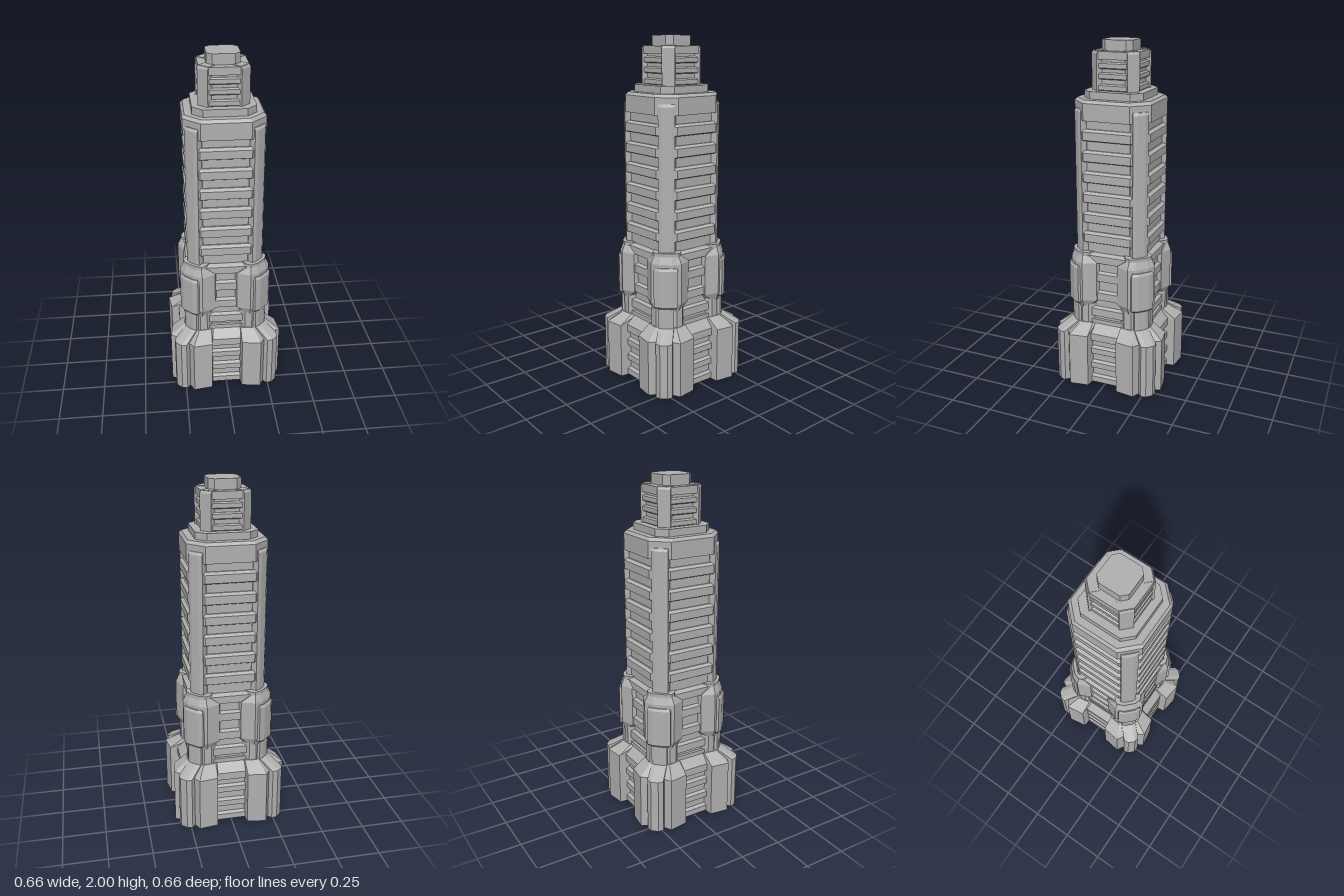
import * as THREE from 'three';

const grey = new THREE.MeshStandardMaterial({ color: 0xb0b0b0 });
grey.name = 'hull grey';

// Closed solid through matching [x, z] outlines, given as [y, outline] from bottom to top
function loft(name, sections) {
  const pos = [];
  const put = (y, p) => pos.push(p[0], y, p[1]);
  for (let s = 0; s + 1 < sections.length; s++) {
    const [y0, a] = sections[s], [y1, b] = sections[s + 1];
    for (let i = 0; i < a.length; i++) {
      const j = (i + 1) % a.length;
      put(y0, a[i]); put(y1, b[i]); put(y0, a[j]);
      put(y0, a[j]); put(y1, b[i]); put(y1, b[j]);
    }
  }
  const cap = ([y, o], up) => {
    const tris = THREE.ShapeUtils.triangulateShape(o.map((p) => new THREE.Vector2(...p)), []);
    for (const [i, j, k] of tris) {
      const [p, q, r] = [o[i], o[j], o[k]];
      const ccw = (q[0] - p[0]) * (r[1] - p[1]) - (q[1] - p[1]) * (r[0] - p[0]) > 0;
      for (const v of ccw === up ? [p, r, q] : [p, q, r]) put(y, v);
    }
  };
  cap(sections[0], false);
  cap(sections[sections.length - 1], true);
  const geo = new THREE.BufferGeometry();
  geo.setAttribute('position', new THREE.Float32BufferAttribute(pos, 3));
  geo.computeVertexNormals();
  const mesh = new THREE.Mesh(geo, grey);
  mesh.name = name;
  return mesh;
}

// Square with cut corners: half width h, half length f of each straight side
const oct = (h, f) => [[h, -f], [h, f], [f, h], [-f, h], [-h, f], [-h, -f], [-f, -h], [f, -h]];
const octLoft = (name, rows) => loft(name, rows.map(([y, h, f]) => [y, oct(h, f)]));

// Outline mirrored across x = 0, from its right half listed back to front
const mirror = (half) => [...half, ...half.map(([x, z]) => [-x, z]).reverse()];
const cornerLoft = (name, rows) => loft(name, rows.map(([y, half]) => [y, mirror(half)]));

// Horizontal rib around the body with a sloped upper edge
function rib(name, y, t, h, f, drop) {
  return octLoft(name, [[y - t, h - drop / 2, f], [y - t + 0.005, h, f], [y + t * 0.6, h, f], [y + t, h - drop, f - drop / 2]]);
}

// Everything repeated on the four corners; +z points out of the corner
function corner() {
  const g = new THREE.Group();
  g.name = 'corner';

  const footBase = [[0.09, 0.2], [0.159, 0.286], [0.092, 0.375], [0.046, 0.362], [0.047, 0.39], [0.022, 0.409]];
  const footTop = [[0.09, 0.19], [0.105, 0.23], [0.06, 0.29], [0.046, 0.29], [0.045, 0.3], [0.02, 0.312]];
  g.add(cornerLoft('foot', [[0, footBase], [0.325, footBase], [0.38, footTop]]));

  const column = [[0.045, 0.18], [0.045, 0.295], [0.025, 0.303]];
  g.add(cornerLoft('lowerColumn', [[0.35, column], [0.52, column]]));
  const backing = [[0.09, 0.18], [0.09, 0.25], [0.06, 0.278]];
  g.add(cornerLoft('columnBacking', [[0.34, backing], [0.52, backing]]));

  const clampEnd = [[0.07, 0.18], [0.08, 0.25], [0.07, 0.272], [0.035, 0.288]];
  const clampMid = [[0.105, 0.18], [0.118, 0.208], [0.086, 0.284], [0.035, 0.303]];
  g.add(cornerLoft('clamp', [[0.48, clampEnd], [0.525, clampMid], [0.76, clampMid], [0.8, clampEnd], [0.82, clampEnd]]));

  const panel = [[0.068, 0.27], [0.068, 0.304], [0.035, 0.317]];
  const panelEdge = [[0.06, 0.27], [0.06, 0.298], [0.032, 0.309]];
  g.add(cornerLoft('clampPanel', [[0.5, panelEdge], [0.51, panel], [0.725, panel], [0.74, panelEdge]]));

  const pillar = [[0.046, 0.18], [0.046, 0.262], [0.025, 0.27]];
  const pillarTip = [[0.046, 0.18], [0.046, 0.255], [0.025, 0.26]];
  g.add(cornerLoft('pillar', [[0.78, pillar], [1.625, pillar], [1.64, pillarTip]]));

  const post = [[0.036, 0.1], [0.036, 0.162]];
  const postTip = [[0.036, 0.1], [0.036, 0.152]];
  g.add(cornerLoft('headPost', [[1.73, post], [1.93, post], [1.945, postTip]]));
  return g;
}

export function createModel() {
  const model = new THREE.Group();
  model.name = 'tower';

  // Base block with banded walls and a sloped collar
  model.add(octLoft('baseCore', [[0, 0.25, 0.17], [0.32, 0.25, 0.17]]));
  for (const y of [0.025, 0.12, 0.215]) model.add(rib('baseRib', y, 0.025, 0.27, 0.18, 0.015));
  model.add(octLoft('baseCollar', [[0.28, 0.27, 0.18], [0.325, 0.27, 0.18], [0.375, 0.225, 0.14], [0.4, 0.225, 0.14]]));

  // Middle section
  model.add(octLoft('middleCore', [[0.38, 0.208, 0.13], [0.78, 0.208, 0.13]]));
  for (const y of [0.45, 0.555, 0.675]) model.add(rib('middleRib', y, 0.032, 0.226, 0.14, 0.02));
  model.add(rib('middleCap', 0.785, 0.03, 0.226, 0.14, 0.02));

  // Ribbed shaft
  model.add(octLoft('shaftCore', [[0.77, 0.197, 0.127], [1.6, 0.197, 0.127]]));
  for (let i = 0; i < 6; i++) model.add(rib('shaftRib', 0.91 + i * 0.118, 0.032, 0.223, 0.14, 0.018));
  model.add(octLoft('shaftTop', [[1.58, 0.225, 0.135], [1.675, 0.225, 0.135], [1.692, 0.212, 0.125]]));

  // Head and cap
  model.add(octLoft('headPlate', [[1.69, 0.173, 0.118], [1.732, 0.173, 0.118]]));
  model.add(octLoft('headCore', [[1.73, 0.118, 0.08], [1.92, 0.118, 0.08]]));
  for (const y of [1.75, 1.812, 1.868]) model.add(rib('headRib', y, 0.018, 0.132, 0.085, 0.01));
  model.add(octLoft('headTop', [[1.9, 0.134, 0.086], [1.942, 0.134, 0.086]]));
  model.add(octLoft('cap', [[1.94, 0.09, 0.06], [2, 0.09, 0.06]]));

  for (let k = 0; k < 4; k++) {
    const c = corner();
    c.rotation.y = Math.PI / 4 + (k * Math.PI) / 2;
    model.add(c);
  }
  return model;
}
